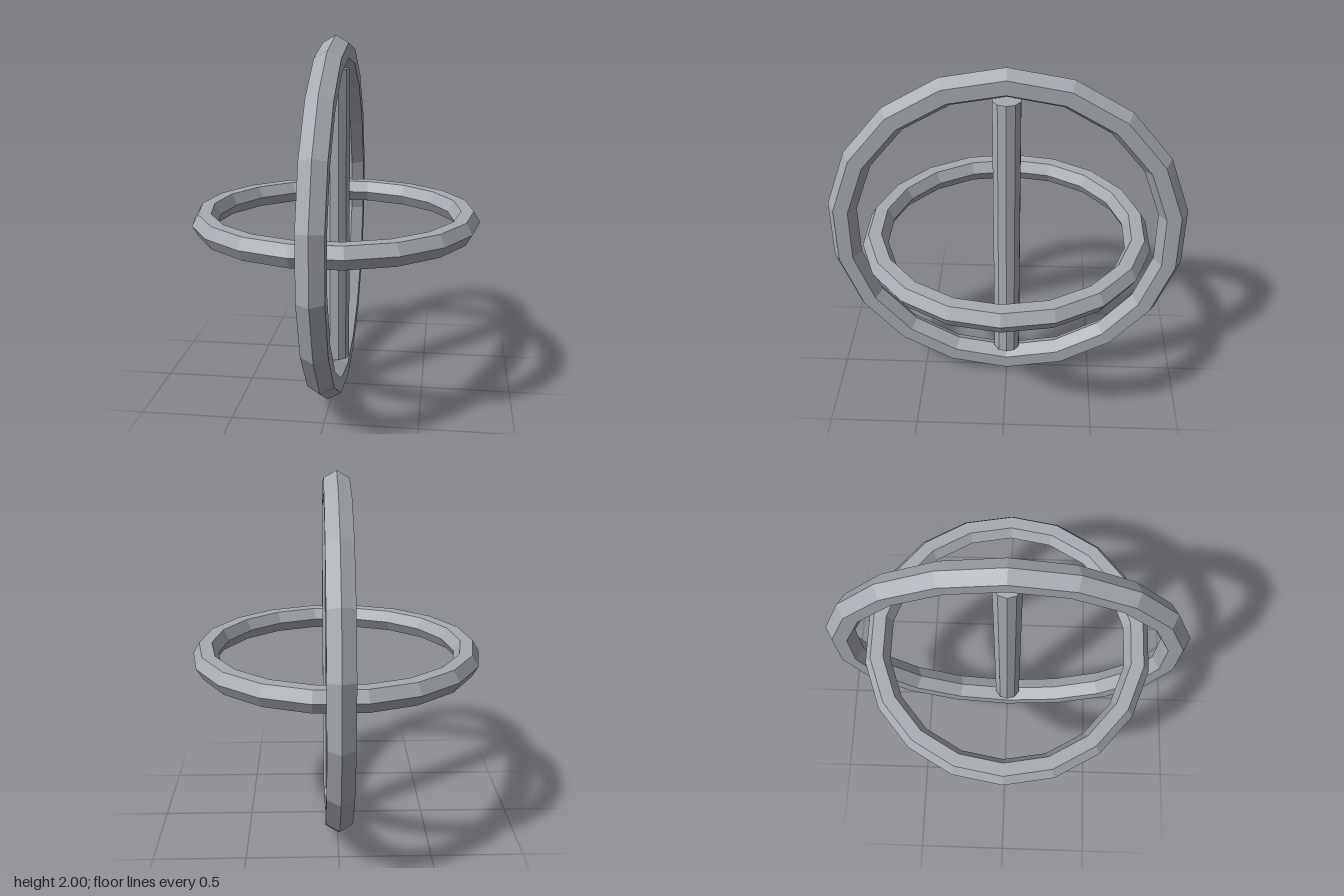
import * as THREE from 'three';

export function createModel() {
  const model = new THREE.Group();
  const steel = new THREE.MeshStandardMaterial({ color: 0xa8acb2, flatShading: true });
  steel.name = 'steel grey';

  const add = (name, geometry) => {
    const mesh = new THREE.Mesh(geometry, steel);
    mesh.name = name;
    mesh.position.y = 1;
    model.add(mesh);
  };

  // Rings: 18 segments with a hexagonal section pointing outwards
  const ring = (radius, tube) => new THREE.TorusGeometry(radius, tube, 6, 18);

  // Upright ring in the YZ plane, one corner at the very top
  add('uprightRing', ring(0.92, 0.08).rotateZ(Math.PI / 2).rotateY(Math.PI / 2));

  // Level ring in the XZ plane, corners on the x axis
  add('levelRing', ring(0.725, 0.07).rotateX(Math.PI / 2));

  // Ten-sided central rod, corners on the x axis
  add('centralRod', new THREE.CylinderGeometry(0.077, 0.077, 1.65, 10).rotateY(Math.PI / 2));

  return model;
}
